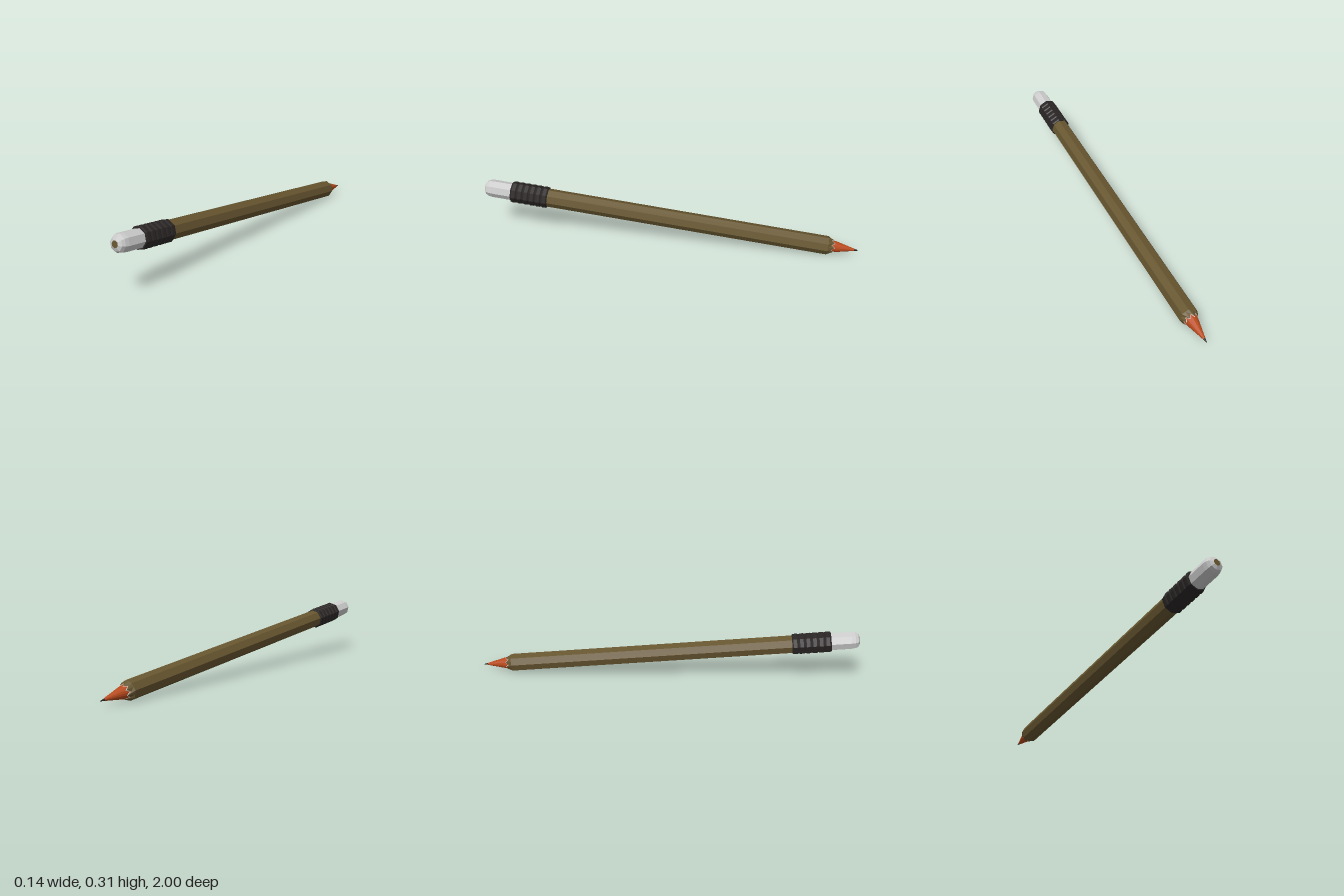
import * as THREE from 'three';

const SIDES = 8;
const ROLL = THREE.MathUtils.degToRad(-7);
const paint = 0x66552f, wood = 0xb84a1c, dark = 0x2a2525;

function mesh(name, geometry, color) {
  const material = new THREE.MeshStandardMaterial({ color, flatShading: true });
  const m = new THREE.Mesh(geometry, material);
  m.name = name;
  return m;
}

// Faceted solid of revolution; profile is [radius, distance from the tip], tip end first
function turned(profile, sides = SIDES) {
  const points = profile.map(([r, s]) => new THREE.Vector2(r, s));
  return new THREE.LatheGeometry(points, sides, ROLL).rotateX(Math.PI / 2);
}

// Two profiles alternate: one on the octagon's corners, one on the middle of its flats
function scalloped(corner, flat) {
  const points = corner.map(([r, s]) => new THREE.Vector2(r, s));
  const g = new THREE.LatheGeometry(points, SIDES * 2, ROLL);
  const pos = g.attributes.position;
  for (let i = 1; i < SIDES * 2; i += 2) {
    const a = ROLL + i * Math.PI / SIDES;
    flat.forEach(([r, s], j) =>
      pos.setXYZ(i * flat.length + j, r * Math.sin(a), s, r * Math.cos(a)));
  }
  return g.rotateX(Math.PI / 2);
}

export function createModel() {
  const pencil = new THREE.Group();
  pencil.name = 'pencil';
  const R = 0.049, inner = R * Math.cos(Math.PI / SIDES);

  // Octagonal shaft and its sharpened, scalloped shoulder
  pencil.add(mesh('shaft', turned([[R, 0.168], [R, 1.68]]), paint));
  pencil.add(mesh('shoulder', scalloped(
    [[0.037, 0.152], [R, 0.168]],
    [[0.033, 0.134], [inner, 0.168]]), paint));

  // Pale zigzag edge where the paint was cut
  pencil.add(mesh('cutEdge', scalloped(
    [[0.0345, 0.148], [0.037, 0.152]],
    [[0.0305, 0.130], [0.033, 0.134]]), 0xcccccc));

  // Bare wood cone and lead point
  pencil.add(mesh('woodCone', turned([[0.006, 0.026], [0.0375, 0.16]], SIDES * 2), wood));
  pencil.add(mesh('leadPoint', turned([[0, 0], [0.006, 0.026]]), dark));

  // Ribbed ferrule
  const ribs = 6, start = 1.665, step = 0.198 / ribs;
  const ferrule = [[0.045, start]];
  for (let i = 0; i < ribs; i++) {
    const s = start + i * step;
    ferrule.push([0.053, s], [0.057, s + step * 0.2], [0.057, s + step * 0.75], [0.053, s + step]);
  }
  ferrule.push([0.042, start + ribs * step]);
  pencil.add(mesh('ferrule', turned(ferrule), dark));

  // Rounded eraser with a small flat disc in its end
  pencil.add(mesh('eraser', turned([
    [0.047, 1.85], [0.047, 1.965], [0.044, 1.985], [0.036, 2.0], [0.018, 2.008],
  ]), 0xcccccc));
  pencil.add(mesh('eraserDisc', turned([[0.018, 2.008], [0, 2.008]]), paint));

  // Lean the pencil so its point is low at the back
  const axis = new THREE.Vector3(0.039, 0.238, 2).normalize();
  pencil.quaternion.setFromUnitVectors(new THREE.Vector3(0, 0, 1), axis);
  pencil.position.set(-0.025, 0.035, -1);

  const model = new THREE.Group();
  model.add(pencil);
  return model;
}
